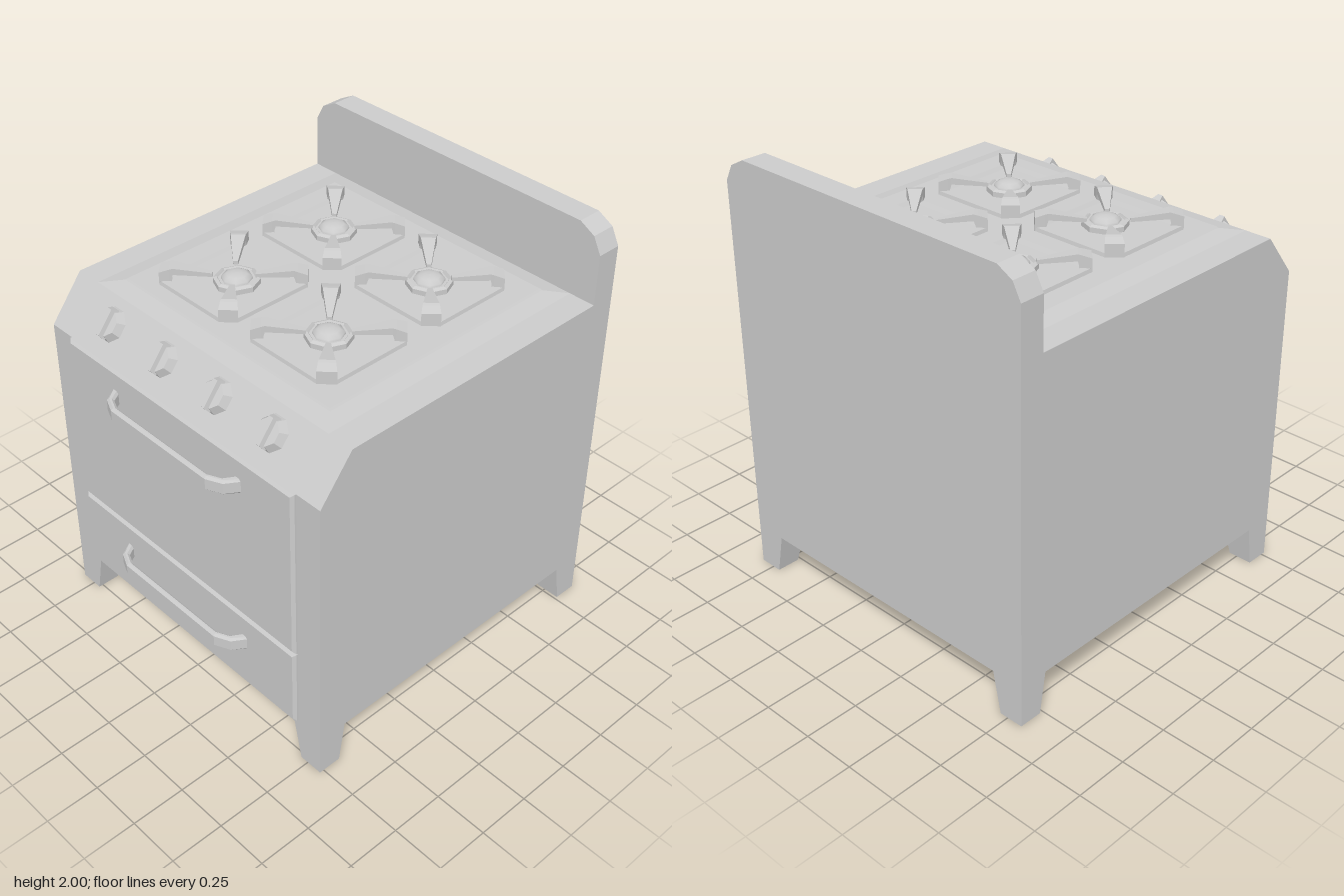
import * as THREE from 'three';

const flat = new THREE.MeshStandardMaterial({ color: 0xcccccc, flatShading: true });
const smooth = new THREE.MeshStandardMaterial({ color: 0xcccccc });

function mesh(name, geometry, parent, material = flat) {
  const m = new THREE.Mesh(geometry, material);
  m.name = name;
  parent.add(m);
  return m;
}

// Skin a series of equal-length loops, with optional end caps
function loft(loops, caps = true) {
  const n = loops[0].length, index = [];
  for (let k = 0; k < loops.length - 1; k++) {
    for (let i = 0; i < n; i++) {
      const a = k * n + i, b = k * n + (i + 1) % n;
      index.push(a, b, b + n, a, b + n, a + n);
    }
  }
  if (caps) {
    const t = (loops.length - 1) * n;
    for (let i = 1; i < n - 1; i++) index.push(0, i + 1, i, t, t + i, t + i + 1);
  }
  const g = new THREE.BufferGeometry();
  g.setAttribute('position', new THREE.Float32BufferAttribute(loops.flat(2), 3));
  g.setIndex(index);
  const out = g.toNonIndexed();
  out.computeVertexNormals();
  return out;
}

// Horizontal rectangle, counter-clockwise from above
const rect = (x0, x1, z0, z1, y) => [[x0, y, z0], [x0, y, z1], [x1, y, z1], [x1, y, z0]];

// Horizontal square with clipped corners
const clipped = (h, c, y) => [
  [-h + c, y, -h], [-h, y, -h + c], [-h, y, h - c], [-h + c, y, h],
  [h - c, y, h], [h, y, h - c], [h, y, -h + c], [h - c, y, -h],
];

function extrude(points, depth, bevel = 0) {
  const shape = new THREE.Shape(points.map(([x, y]) => new THREE.Vector2(x, y)));
  const g = new THREE.ExtrudeGeometry(shape, {
    depth: depth - 2 * bevel, bevelEnabled: bevel > 0, bevelSegments: 1,
    bevelSize: bevel, bevelThickness: bevel, bevelOffset: -bevel,
  });
  return g.translate(0, 0, bevel - depth / 2);
}

// Grate with four raised fingers around a burner
function makeHob(x, z, burnerShift) {
  const hob = new THREE.Group();
  hob.name = 'hob';
  hob.position.set(x, 0, z);
  mesh('grateFrame', loft([
    clipped(0.245, 0.056, 1.668), clipped(0.24, 0.056, 1.688),
    clipped(0.207, 0.03, 1.688), clipped(0.19, 0.02, 1.668),
  ], false), hob);

  // [radius, bottom, top, half width]
  const finger = loft([
    [0.09, 1.695, 1.712, 0.01], [0.25, 1.715, 1.745, 0.032],
    [0.265, 1.668, 1.742, 0.035], [0.307, 1.668, 1.73, 0.04],
  ].map(([r, a, b, w]) => [[r, a, -w], [r, b, -w], [r, b, w], [r, a, w]]));
  for (let i = 0; i < 4; i++) {
    mesh('grateFinger', finger, hob).rotation.y = Math.PI / 4 + i * Math.PI / 2;
  }

  const ring = [[0.1, 1.667], [0.1, 1.695], [0.085, 1.702], [0.08, 1.695], [0.065, 1.695]];
  const cap = [[0.068, 1.69], [0.065, 1.705], [0.045, 1.717], [0.022, 1.722], [0, 1.723]];
  const lathe = (p) => new THREE.LatheGeometry(p.map(([r, y]) => new THREE.Vector2(r, y)), 8);
  mesh('burnerRing', lathe(ring), hob).position.z = burnerShift;
  mesh('burnerCap', lathe(cap), hob, smooth).position.z = burnerShift;
  return hob;
}

// Octagonal dial with a raised grip, standing on the sloped panel
function makeKnob(z) {
  const knob = new THREE.Group();
  knob.name = 'knob';
  knob.position.set(-0.682, 1.56, z);
  knob.rotation.z = Math.atan2(0.2, 0.16);
  const dial = new THREE.CylinderGeometry(0.058, 0.077, 0.035, 8);
  mesh('dial', dial.rotateY(Math.PI / 8), knob).position.y = 0.0175;
  mesh('grip', loft([
    rect(-0.068, 0.068, -0.022, 0.022, 0.02), rect(-0.06, 0.06, -0.012, 0.012, 0.054),
  ]), knob);
  return knob;
}

// Front panel with chamfered edges, lofted flat then stood up
function makePanel(y0, y1) {
  const c = 0.014;
  return loft([
    rect(y0, y1, -0.695, 0.695, 0.765),
    rect(y0, y1, -0.695, 0.695, 0.778),
    rect(y0 + c, y1 - c, -0.695 + c, 0.695 - c, 0.79),
  ]).rotateZ(Math.PI / 2);
}

// Bent bar handle, extruded from its plan outline
function makeHandle() {
  const outer = [[-0.77, 0.415], [-0.848, 0.365], [-0.88, 0.295]];
  const inner = [[-0.853, 0.285], [-0.828, 0.34], [-0.77, 0.375]];
  const side = [...outer, ...inner];
  const flip = ([x, z]) => [x, -z];
  const outline = [...outer, ...outer.map(flip).reverse(),
    ...side.slice(3).map(flip).reverse(), ...inner];
  return extrude(outline, 0.07, 0.01).rotateX(Math.PI / 2);
}

export function createModel() {
  const stove = new THREE.Group();
  stove.name = 'stove';

  // Body with a sloped control panel
  mesh('body', extrude([
    [-0.77, 0.195], [0.77, 0.195], [0.77, 1.65], [-0.61, 1.65], [-0.77, 1.45],
  ], 1.65), stove);

  // Tall back with clipped upper corners
  mesh('backPanel', extrude([
    [-0.825, 0.195], [0.825, 0.195], [0.825, 1.885], [0.785, 1.96], [0.71, 2],
    [-0.71, 2], [-0.785, 1.96], [-0.825, 1.885],
  ], 0.115).rotateY(Math.PI / 2).translate(0.8175, 0, 0), stove);

  // Tapered corner legs
  for (const [sx, edge] of [[-1, -0.77], [1, 0.875]]) {
    for (const sz of [-1, 1]) {
      const section = (wx, wz, y) => {
        const xs = [edge, edge - sx * wx].sort((a, b) => a - b);
        const zs = [sz * 0.825, sz * (0.825 - wz)].sort((a, b) => a - b);
        return rect(...xs, ...zs, y);
      };
      mesh('leg', loft([section(0.11, 0.115, 0), section(0.14, 0.155, 0.195)]), stove);
    }
  }

  // Cooktop rising gently to a stepped plate
  mesh('cooktop', loft([
    rect(-0.61, 0.76, -0.7, 0.7, 1.65),
    rect(-0.527, 0.677, -0.62, 0.62, 1.664),
    rect(-0.52, 0.67, -0.612, 0.612, 1.672),
  ]), stove);

  // Four hobs
  for (const x of [-0.21, 0.36]) {
    stove.add(makeHob(x, -0.293, x < 0 ? 0.018 : 0));
    stove.add(makeHob(x, 0.278, 0));
  }

  // Control knobs
  for (const z of [-0.52, -0.183, 0.15, 0.47]) stove.add(makeKnob(z));

  // Oven door and drawer with handles
  mesh('ovenDoor', makePanel(0.615, 1.45), stove);
  mesh('drawer', makePanel(0.22, 0.61), stove);
  mesh('doorHandle', makeHandle(), stove).position.y = 1.317;
  mesh('drawerHandle', makeHandle(), stove).position.y = 0.465;

  return stove;
}
